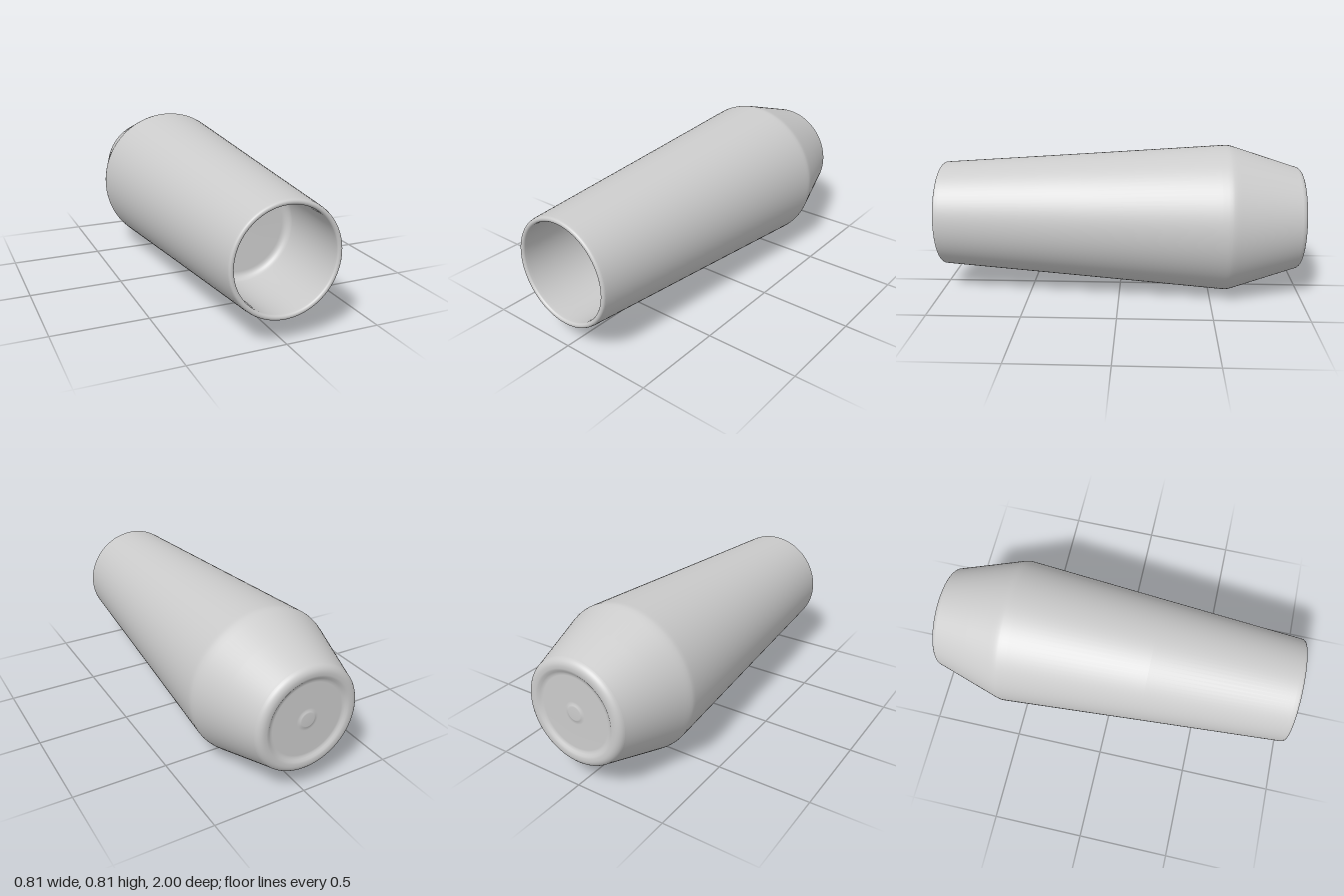
import * as THREE from 'three';

const material = new THREE.MeshStandardMaterial({ color: 0xcccccc });
const AXIS_Y = 0.405;

// Turn a [radius, z] profile around the long axis, which drifts slightly toward the mouth
function turned(name, profile) {
  const geometry = new THREE.LatheGeometry(profile.map(([r, z]) => new THREE.Vector2(r, z)), 96);
  geometry.rotateX(Math.PI / 2);
  const p = geometry.attributes.position;
  for (let i = 0; i < p.count; i++) {
    const t = (p.getZ(i) + 0.6) / 1.6;
    p.setX(i, p.getX(i) - 0.01 * Math.max(t, 0));
    p.setY(i, p.getY(i) + AXIS_Y + 0.007 * Math.abs(t));
  }
  const mesh = new THREE.Mesh(geometry, material);
  mesh.name = name;
  return mesh;
}

// Points of a quarter-like arc, angles in degrees
function arc(r, z, radius, from, to, steps = 8) {
  return Array.from({ length: steps + 1 }, (_, i) => {
    const a = THREE.MathUtils.degToRad(from + (to - from) * i / steps);
    return [r + radius * Math.cos(a), z + radius * Math.sin(a)];
  });
}

export function createModel() {
  const model = new THREE.Group();
  model.name = 'taperedSleeve';

  // Closed end: small central boss, shallow recess and rounded foot ring
  model.add(turned('base', [
    [0, -0.99], [0.035, -0.99], [0.042, -0.988], [0.05, -0.984], [0.06, -0.984],
    [0.195, -0.984], [0.205, -0.985], [0.215, -0.99], [0.225, -0.997], [0.235, -1],
    ...arc(0.247, -0.96, 0.04, -90, -17),
  ]));

  // Steep shoulder, softened ridge and long taper to the mouth
  model.add(turned('body', [
    [0.285, -0.972], [0.291, -0.952], [0.345, -0.785], [0.392, -0.64],
    [0.399, -0.618], [0.403, -0.602], [0.405, -0.588], [0.404, -0.57],
    [0.402, -0.54], [0.347, 0.2], [0.291, 0.97], [0.289, 0.988],
  ]));

  // Rounded lip around the opening
  model.add(turned('lip', [
    [0.289, 0.985], ...arc(0.275, 0.987, 0.013, 0, 180, 12), [0.262, 0.975],
  ]));

  // Inner wall follows the taper and closes with a soft-edged floor
  model.add(turned('cavity', [
    [0.262, 0.98], [0.264, 0.9], [0.272, 0.75], [0.277, 0.58],
    ...arc(0.237, 0.54, 0.04, 0, -90), [0.12, 0.495], [0, 0.49],
  ]));

  return model;
}
